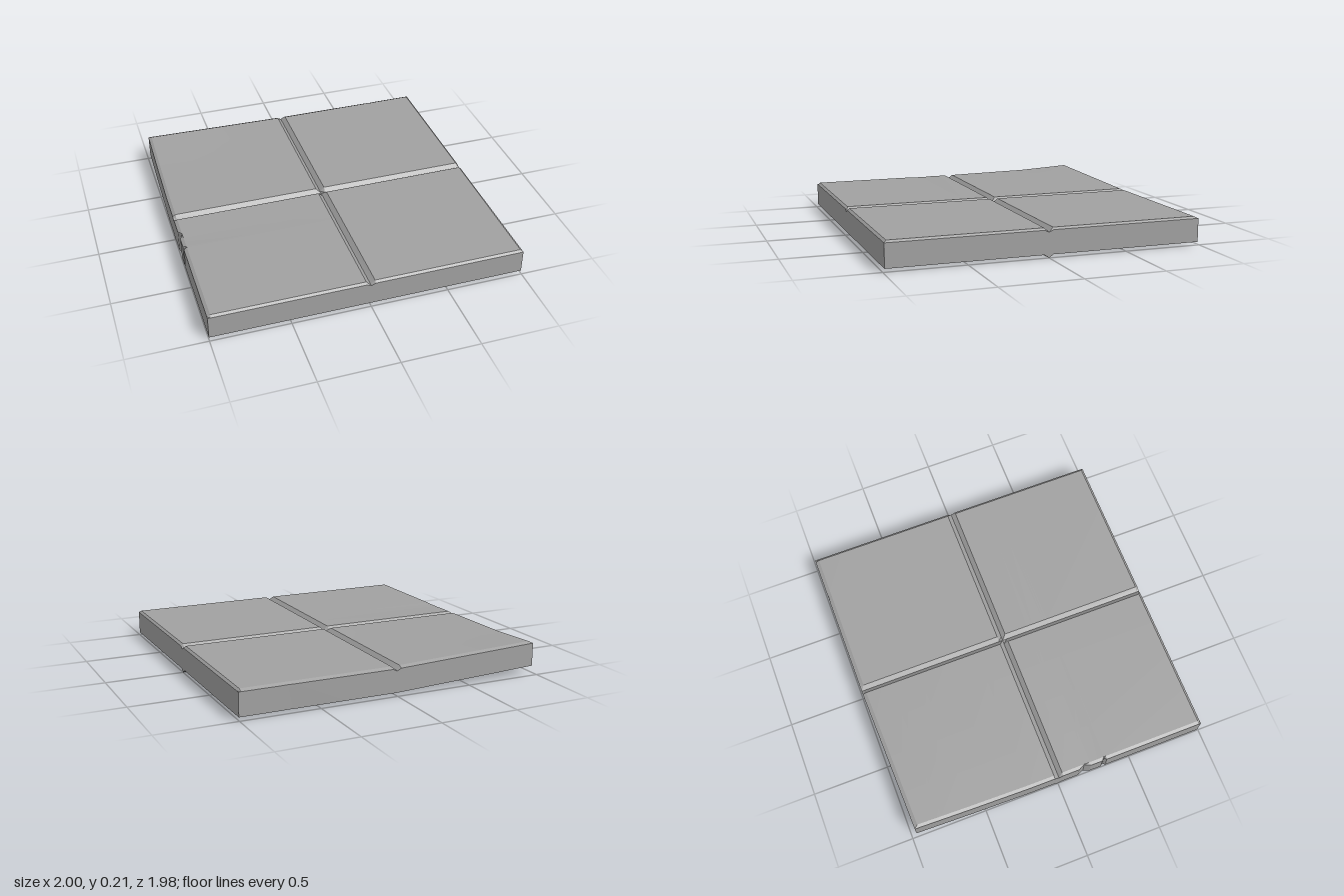
import * as THREE from 'three';
import { toCreasedNormals } from 'three/addons/utils/BufferGeometryUtils.js';

// Grid lines: outer edge, chamfer, V grooves at 0, and the chipped spots
const XS = [-1, -0.98, -0.75, -0.5, -0.25, -0.028, 0, 0.028, 0.66, 0.7, 0.74, 0.985, 1];
const ZS = [-0.99, -0.965, -0.8, -0.6, -0.4, -0.2, -0.028, 0, 0.028, 0.14, 0.18, 0.22, 0.3, 0.315, 0.33, 0.975, 0.99];
const BASE = 0.02, TOP = 0.18, RIM = 0.168, GROOVE = 0.155;

// Plan position: tilted back corner, notched left edge and a slight dent at the back
function plan(x, z) {
  let px = x, pz = z;
  if (x < 0 && z < 0) {
    const pull = -x * Math.max(0, (-z - 0.2) / 0.8);
    px += 0.014 * pull;
    pz += 0.024 * pull;
  }
  if (x === -1 && z === 0.18) px = -0.983;
  if (x === -1 && z === 0.315) px = -0.987;
  if (x === 0.7 && z === -0.99) pz += 0.003;
  return [px, pz];
}

// The back corner tile is heaved up as a whole
function lift(x, z) {
  if (x >= 0 || z >= 0) return 0;
  return -x * (z > -0.6 ? -0.0167 * z : 0.01 + 0.055 * (-z - 0.6));
}

// Height of the upper surface
function topHeight(x, z) {
  if (x === 0 || z === 0) return GROOVE;
  if (Math.abs(x) === 1 || Math.abs(z) === 0.99) return RIM + lift(x, z);
  const sag = x < -0.03 && z >= 0.18 && z <= 0.3 ? -0.002 * x : 0;
  return TOP + lift(x, z) - sag;
}

function topPoint(i, j) {
  const [x, z] = plan(XS[i], ZS[j]);
  return [x, topHeight(XS[i], ZS[j]), z];
}

// The underside is flat with a V ridge along x
function basePoint(i, j) {
  const [x, z] = plan(XS[i], ZS[j]);
  return [x, ZS[j] === 0 ? 0 : BASE + lift(XS[i], ZS[j]), z];
}

function quadMesh(name, quads, material) {
  const positions = [];
  for (const [a, b, c, d] of quads) positions.push(...a, ...b, ...c, ...a, ...c, ...d);
  const geometry = new THREE.BufferGeometry();
  geometry.setAttribute('position', new THREE.Float32BufferAttribute(positions, 3));
  const mesh = new THREE.Mesh(toCreasedNormals(geometry, 0.35), material);
  mesh.name = name;
  return mesh;
}

export function createModel() {
  const group = new THREE.Group();
  group.name = 'floorSlab';
  const material = new THREE.MeshStandardMaterial({ color: 0xa0a0a0 });
  const nx = XS.length - 1, nz = ZS.length - 1;

  // Grooved top and ridged underside
  const top = [], base = [];
  for (let i = 0; i < nx; i++) {
    for (let j = 0; j < nz; j++) {
      const cell = [[i, j], [i, j + 1], [i + 1, j + 1], [i + 1, j]];
      top.push(cell.map(([u, v]) => topPoint(u, v)));
      base.push(cell.map(([u, v]) => basePoint(u, v)).reverse());
    }
  }

  // Side walls follow the rim
  const rim = [];
  for (let j = 0; j < nz; j++) rim.push([0, j]);
  for (let i = 0; i < nx; i++) rim.push([i, nz]);
  for (let j = nz; j > 0; j--) rim.push([nx, j]);
  for (let i = nx; i > 0; i--) rim.push([i, 0]);
  const sides = rim.map((p, k) => {
    const q = rim[(k + 1) % rim.length];
    return [topPoint(...p), basePoint(...p), basePoint(...q), topPoint(...q)];
  });

  group.add(
    quadMesh('groovedTop', top, material),
    quadMesh('underside', base, material),
    quadMesh('sideWalls', sides, material)
  );
  return group;
}
